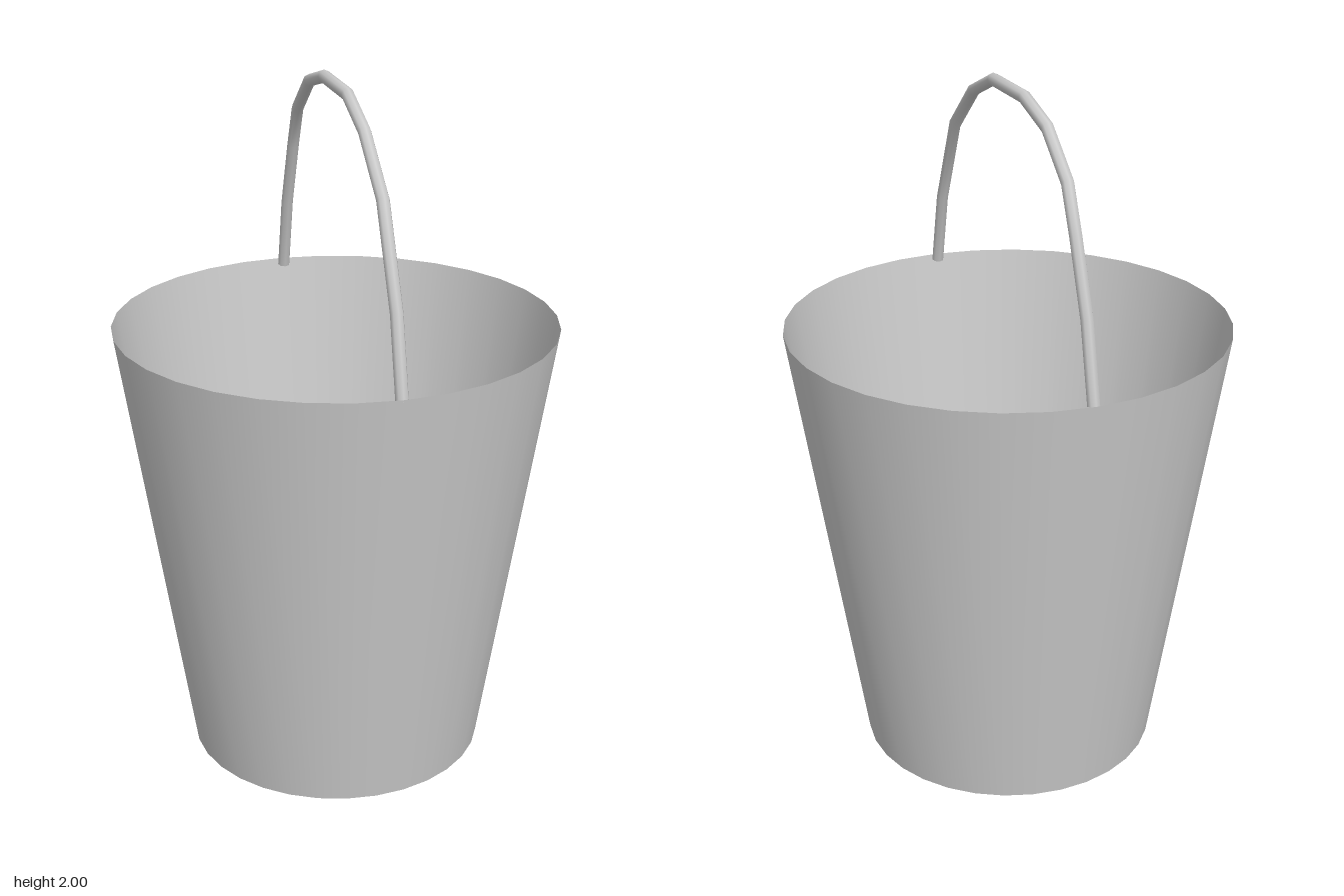
import * as THREE from 'three';

const material = new THREE.MeshStandardMaterial({ color: 0xcccccc });
const SIDES = 32;
const WIRE = 0.018;

function add(parent, name, geometry) {
  const mesh = new THREE.Mesh(geometry, material);
  mesh.name = name;
  parent.add(mesh);
  return mesh;
}

// Straight-sided path that keeps one ring of the tube at each corner
class Polyline extends THREE.Curve {
  constructor(points) {
    super();
    this.points = points;
  }
  getPoint(t, target = new THREE.Vector3()) {
    const last = this.points.length - 1;
    const s = THREE.MathUtils.clamp(t, 0, 1) * last;
    const i = Math.min(Math.floor(s), last - 1);
    return target.lerpVectors(this.points[i], this.points[i + 1], s - i);
  }
  getPointAt(t, target) {
    return this.getPoint(t, target);
  }
  getTangentAt(t, target) {
    return this.getTangent(t, target);
  }
}

export function createModel() {
  const model = new THREE.Group();
  model.name = 'bucket';

  // Bucket: separate bands keep the edges between them sharp
  const bands = [
    ['bucketBase', [0, 0], [0.434, 0]],
    ['outerWall', [0.434, 0], [0.635, 1.31]],
    ['innerWall', [0.635, 1.31], [0.442, 0.06]],
    ['bucketFloor', [0.442, 0.06], [0, 0.06]],
  ];
  for (const [name, from, to] of bands) {
    const profile = [new THREE.Vector2(...from), new THREE.Vector2(...to)];
    add(model, name, new THREE.LatheGeometry(profile, SIDES));
  }

  // Handle: a bent wire from front rim to back rim, as [z, y]
  const bends = [
    [0.617, 1.3], [0.563, 1.515], [0.437, 1.775], [0.272, 1.913],
    [0.114, 1.978], [-0.119, 1.982], [-0.278, 1.94], [-0.415, 1.833],
    [-0.473, 1.71], [-0.553, 1.515], [-0.606, 1.3],
  ].map(([z, y]) => new THREE.Vector3(0, y, z));
  const handle = new THREE.Group();
  handle.name = 'handle';
  model.add(handle);
  const path = new Polyline(bends);
  add(handle, 'handleWire', new THREE.TubeGeometry(path, bends.length - 1, WIRE, 8));

  // Closed ends of the wire
  for (const t of [0, 1]) {
    const outward = path.getTangent(t).multiplyScalar(t ? 1 : -1);
    const cap = add(handle, 'handleEnd', new THREE.CircleGeometry(WIRE, 8));
    cap.position.copy(path.getPoint(t));
    cap.quaternion.setFromUnitVectors(new THREE.Vector3(0, 0, 1), outward);
  }

  return model;
}
